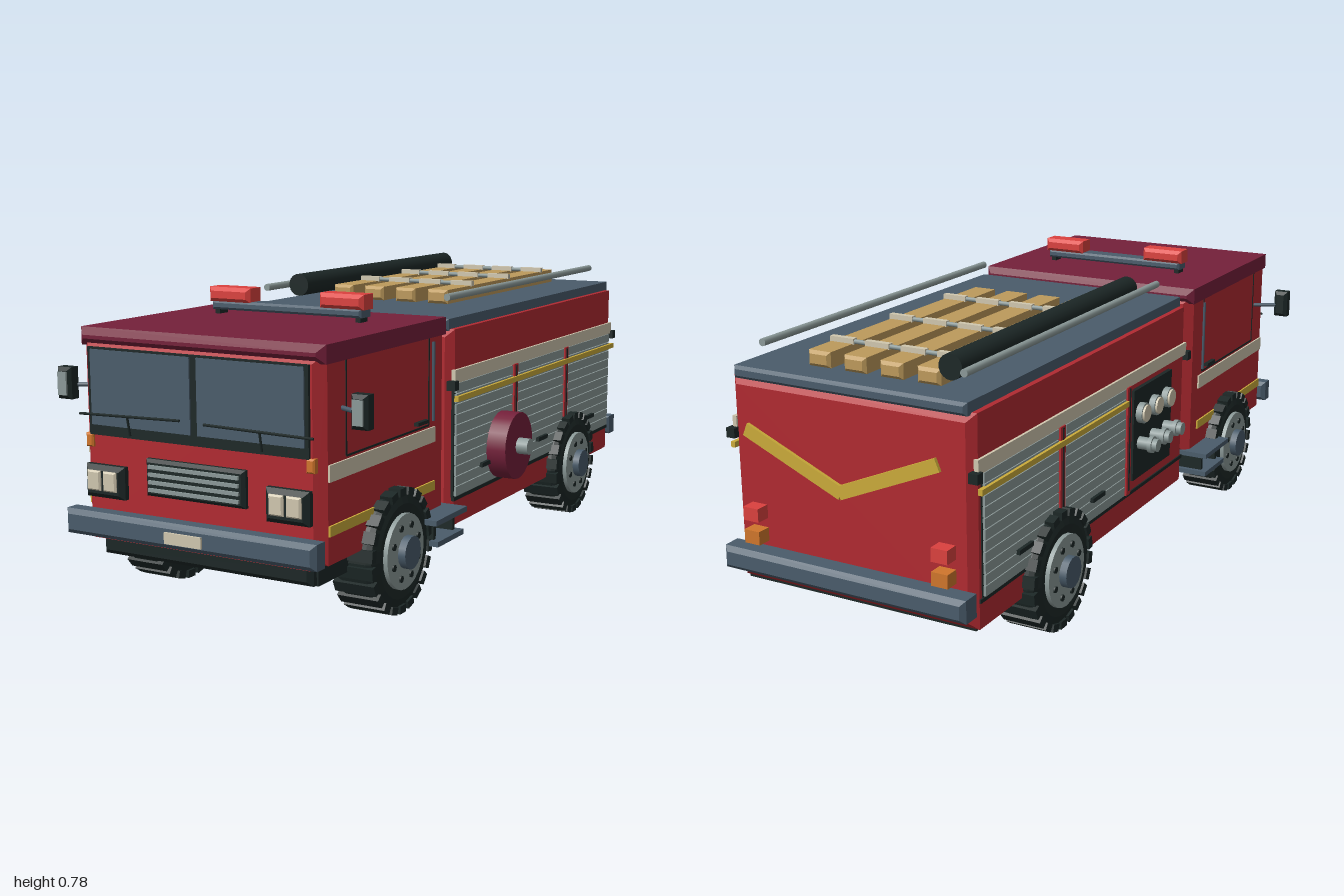
import * as THREE from 'three';

const mat = (name, color) => Object.assign(new THREE.MeshStandardMaterial({ color }), { name });
const red = mat('engine red', 0xb12a31), maroon = mat('maroon', 0x74203a), steel = mat('steel grey', 0x8b9998);
const slate = mat('slate blue', 0x4a5c6b), dark = mat('rubber black', 0x1c2726), cream = mat('cream', 0xd0c7af);
const yellow = mat('yellow', 0xcbab3a), wood = mat('wood', 0xbd9a5c), orange = mat('amber', 0xd0762c), lamp = mat('beacon red', 0xdb413e);

export function createModel() {
  const root = new THREE.Group();
  root.name = 'fireEngine';

  const add = (name, geo, m, x = 0, y = 0, z = 0, parent = root) => {
    const mesh = new THREE.Mesh(geo, m);
    mesh.name = name;
    mesh.position.set(x, y, z);
    parent.add(mesh);
    return mesh;
  };
  // plain box from its limits
  const box = (name, m, x0, x1, y0, y1, z0, z1, parent) =>
    add(name, new THREE.BoxGeometry(Math.abs(x1 - x0), y1 - y0, z1 - z0), m, (x0 + x1) / 2, (y0 + y1) / 2, (z0 + z1) / 2, parent);
  // box with chamfered edges, from its limits
  const bevel = (name, m, x0, x1, y0, y1, z0, z1, b, parent) => {
    const w = Math.abs(x1 - x0) / 2 - b, h = (y1 - y0) / 2 - b, d = z1 - z0 - 2 * b;
    const s = new THREE.Shape([[-w, -h], [w, -h], [w, h], [-w, h]].map(p => new THREE.Vector2(...p)));
    const g = new THREE.ExtrudeGeometry(s, { depth: d, bevelEnabled: true, bevelThickness: b, bevelSize: b, bevelSegments: 1 });
    g.translate(0, 0, -d / 2);
    return add(name, g, m, (x0 + x1) / 2, (y0 + y1) / 2, (z0 + z1) / 2, parent);
  };
  // cylinder lying along x or z
  const rod = (name, m, r, len, axis, x, y, z, sides = 16, parent = root) => {
    const g = new THREE.CylinderGeometry(r, r, len, sides);
    if (axis === 'x') g.rotateZ(Math.PI / 2);
    else g.rotateX(Math.PI / 2);
    return add(name, g, m, x, y, z, parent);
  };
  // thin rod between two points
  const link = (name, m, a, b, r) => {
    const A = new THREE.Vector3(...a), B = new THREE.Vector3(...b);
    const mesh = add(name, new THREE.CylinderGeometry(r, r, A.distanceTo(B), 6), m);
    mesh.position.copy(A).add(B).multiplyScalar(0.5);
    mesh.quaternion.setFromUnitVectors(new THREE.Vector3(0, 1, 0), B.sub(A).normalize());
  };

  // main volumes
  box('chassis', dark, -0.31, 0.31, 0.138, 0.25, -0.91, 0.89);
  bevel('cab', red, -0.345, 0.345, 0.195, 0.69, 0.3, 0.928, 0.025);
  bevel('cabRoof', maroon, -0.35, 0.35, 0.665, 0.71, 0.295, 0.932, 0.018);
  bevel('body', red, -0.345, 0.345, 0.14, 0.67, -0.94, 0.268, 0.02);
  box('bodyUnderside', dark, -0.335, 0.335, 0.134, 0.142, -0.92, 0.25);
  box('cabGap', dark, -0.31, 0.31, 0.2, 0.64, 0.26, 0.31);
  bevel('bodyRoof', slate, -0.33, 0.33, 0.665, 0.697, -0.945, 0.262, 0.008);

  // windscreen
  box('windscreenFrame', dark, -0.315, 0.315, 0.448, 0.665, 0.925, 0.936);
  for (const s of [-1, 1]) {
    box('windscreenPane', slate, s * 0.01, s * 0.305, 0.474, 0.66, 0.934, 0.94);
    link('wiper', dark, [s * 0.035, s > 0 ? 0.505 : 0.508, 0.948], [s * 0.335, 0.5, 0.948], 0.0035);
    link('wiperArm', dark, [s * 0.19, 0.455, 0.938], [s * 0.19, 0.505, 0.948], 0.003);
  }

  // grille
  bevel('grille', dark, -0.143, 0.143, 0.313, 0.405, 0.92, 0.945, 0.008);
  for (let i = 0; i < 4; i++) box('grilleSlat', steel, -0.13, 0.13, 0.326 + i * 0.019, 0.335 + i * 0.019, 0.94, 0.951);

  // bumpers
  bevel('frontBumper', slate, -0.36, 0.36, 0.203, 0.266, 0.932, 0.99, 0.012);
  box('numberPlate', cream, -0.053, 0.053, 0.218, 0.246, 0.985, 0.996);
  box('frontSill', red, -0.315, 0.315, 0.187, 0.205, 0.87, 0.935);
  bevel('frontValance', dark, -0.305, 0.305, 0.14, 0.192, 0.83, 0.915, 0.012);
  bevel('rearBumper', slate, -0.35, 0.35, 0.183, 0.242, -1, -0.93, 0.012);

  for (const s of [-1, 1]) {
    // headlights and indicators
    bevel('headlightFrame', dark, s * 0.204, s * 0.322, 0.294, 0.376, 0.92, 0.957, 0.012);
    for (const x of [0.24, 0.288]) bevel('headlight', cream, s * (x - 0.02), s * (x + 0.02), 0.314, 0.364, 0.95, 0.964, 0.004);
    bevel('indicator', orange, s * 0.307, s * 0.329, 0.416, 0.45, 0.915, 0.937, 0.004);

    // mirrors
    bevel('mirror', dark, s * 0.403, s * 0.446, 0.52, 0.601, 0.86, 0.905, 0.01);
    box('mirrorGlass', steel, s * 0.411, s * 0.438, 0.531, 0.59, 0.9, 0.908);
    link('mirrorArm', slate, [s * 0.34, 0.555, 0.835], [s * 0.415, 0.555, 0.875], 0.006);

    // cab sides: stripes, door and handles
    box('cabCreamStripe', cream, s * 0.34, s * 0.35, 0.392, 0.432, 0.37, 0.902);
    box('cabYellowStripe', yellow, s * 0.34, s * 0.35, 0.264, 0.289, 0.37, 0.902);
    for (const z of [0.4, 0.82]) box('doorSeam', dark, s * 0.34, s * 0.3465, 0.44, 0.665, z - 0.0025, z + 0.0025);
    box('doorSeam', dark, s * 0.34, s * 0.3465, 0.437, 0.442, 0.4, 0.82);
    box('doorHandle', dark, s * 0.34, s * 0.357, 0.45, 0.459, 0.42, 0.48);
    link('grabRail', slate, [s * 0.353, 0.45, 0.388], [s * 0.353, 0.655, 0.388], 0.004);

    // steps below the cab
    box('upperStep', slate, s * 0.3, s * 0.41, 0.198, 0.212, 0.3, 0.48);
    box('lowerStep', slate, s * 0.3, s * 0.405, 0.138, 0.152, 0.31, 0.46);
    for (const z of [0.33, 0.44]) box('stepBracket', dark, s * 0.3, s * 0.385, 0.145, 0.2, z - 0.006, z + 0.006);

    // body stripes and rail
    box('bodyCreamStripe', cream, s * 0.34, s * 0.352, 0.527, 0.563, -0.93, 0.258);
    box('yellowRail', yellow, s * 0.35, s * 0.362, 0.479, 0.494, -0.93, s > 0 ? 0.26 : -0.15);
    box('sillTrim', dark, s * 0.34, s * 0.349, 0.207, 0.217, -0.92, 0.255);
    for (const z of [0.265, -0.935]) box('railBracket', dark, s * 0.335, s * 0.36, 0.51, 0.535, z - 0.012, z + 0.012);

    // roller shutters
    const bays = [[-0.91, -0.54], [-0.51, -0.15]];
    if (s > 0) bays.push([-0.12, 0.257]);
    for (const [z0, z1] of bays) {
      box('shutterBack', dark, s * 0.34, s * 0.3475, 0.218, 0.529, z0, z1);
      for (let i = 0; i < 11; i++) {
        const y = 0.221 + i * 0.028;
        box('shutterSlat', steel, s * 0.345, s * 0.354, y, y + 0.0255, z0 + 0.004, z1 - 0.004);
      }
      const c = (z0 + z1) / 2;
      box('shutterHandle', dark, s * 0.35, s * 0.363, 0.272, 0.284, c - 0.035, c + 0.035);
    }
    for (const z of [-0.525, -0.135]) {
      box('bayPost', red, s * 0.34, s * 0.356, 0.218, 0.529, z - 0.013, z + 0.013);
      box('bayPostTrim', dark, s * 0.35, s * 0.358, 0.23, 0.525, z - 0.003, z + 0.003);
    }

    // rear lights and chevron
    box('rearIndicator', orange, s * 0.25, s * 0.295, 0.255, 0.29, -0.978, -0.935);
    box('rearLamp', lamp, s * 0.25, s * 0.295, 0.315, 0.35, -0.978, -0.935);
    box('sideMarker', orange, s * 0.34, s * 0.352, 0.222, 0.232, -0.86, -0.82);
    const arm = add('chevronArm', new THREE.BoxGeometry(0.3, 0.034, 0.009), yellow, s * 0.135, 0.495, -0.975);
    arm.rotation.z = s * 0.4;

    // roof rails and beacons
    rod('roofRail', steel, 0.01, 1.06, 'z', s * 0.287, 0.745, -0.35, 10);
    bevel('beacon', lamp, s * 0.105, s * 0.232, 0.742, 0.781, 0.478, 0.545, 0.01);
    box('lightBarFoot', dark, s * 0.205, s * 0.22, 0.7, 0.73, 0.495, 0.53);
  }
  bevel('lightBar', slate, -0.225, 0.225, 0.722, 0.745, 0.483, 0.54, 0.006);

  // roof ladder planks, straps and suction hose
  for (let i = 0; i < 4; i++) {
    const x = -0.177 + i * 0.104;
    bevel('ladderPlank', wood, x - 0.032, x + 0.032, 0.697, 0.737, -0.86, -0.062, 0.008);
    for (const z of [-0.755, -0.495, -0.23]) box('ladderStrap', cream, x - 0.035, x + 0.035, 0.735, 0.75, z - 0.008, z + 0.008);
  }
  for (const z of [-0.755, -0.495, -0.23]) rod('ladderRung', steel, 0.006, 0.38, 'x', -0.02, 0.742, z, 8);
  rod('suctionHose', dark, 0.032, 0.945, 'z', -0.236, 0.747, -0.383, 18);

  // hose reel on the left side
  rod('hoseReel', maroon, 0.095, 0.065, 'x', 0.378, 0.313, -0.035, 24);
  rod('hoseReelHub', steel, 0.023, 0.035, 'x', 0.427, 0.313, -0.035, 14);

  // pump panel on the right side
  box('pumpPanel', dark, -0.357, -0.34, 0.25, 0.51, -0.11, 0.145);
  for (const z of [-0.1, -0.015, 0.07]) {
    const c = z + 0.03;
    rod('gaugeRim', steel, 0.029, 0.02, 'x', -0.365, 0.44, c, 16);
    rod('gaugeFace', cream, 0.024, 0.006, 'x', -0.378, 0.44, c, 16);
    rod('outlet', steel, 0.018, 0.06, 'x', -0.385, 0.352, c, 12);
    rod('outletCollar', steel, 0.024, 0.012, 'x', -0.395, 0.352, c, 12);
  }

  // wheels with tread blocks, rims, hubs and bolts
  for (const s of [-1, 1]) for (const z of [0.6, -0.56]) {
    const w = new THREE.Group();
    w.name = z > 0 ? 'frontWheel' : 'rearWheel';
    w.position.set(s * 0.322, 0.16, z);
    if (s < 0) w.rotation.y = Math.PI;
    root.add(w);
    const tyre = new THREE.LatheGeometry([[0, -0.055], [0.12, -0.055], [0.147, -0.048], [0.153, -0.035], [0.153, 0.035], [0.147, 0.048],
      [0.12, 0.057], [0.095, 0.052], [0, 0.052]].map(p => new THREE.Vector2(...p)), 28).toNonIndexed();
    tyre.rotateZ(-Math.PI / 2);
    tyre.computeVertexNormals();
    add('tyre', tyre, dark, 0, 0, 0, w);
    for (let i = 0; i < 22; i++) {
      const a = i / 22 * Math.PI * 2;
      const lug = add('treadBlock', new THREE.BoxGeometry(0.114, 0.02, 0.03), dark, 0, Math.cos(a) * 0.149, Math.sin(a) * 0.149, w);
      lug.rotation.x = a;
    }
    rod('rim', steel, 0.096, 0.02, 'x', 0.054, 0, 0, 24, w);
    rod('hub', slate, 0.042, 0.036, 'x', 0.066, 0, 0, 14, w);
    for (let i = 0; i < 8; i++) {
      const a = (i + 0.5) / 8 * Math.PI * 2;
      rod('rimBolt', dark, 0.009, 0.008, 'x', 0.064, Math.cos(a) * 0.069, Math.sin(a) * 0.069, 8, w);
    }
  }
  return root;
}
